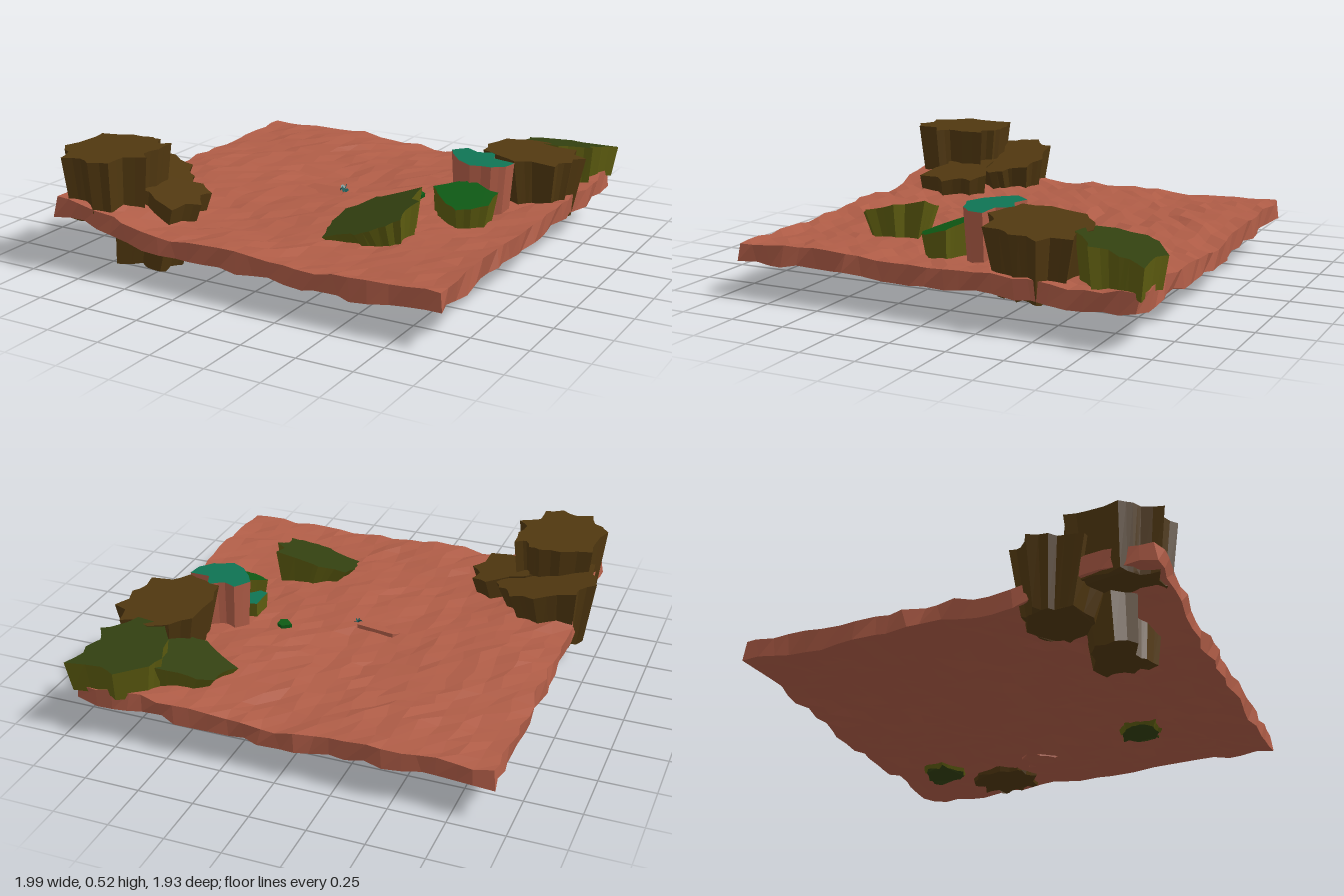
import * as THREE from 'three';

const mat = (name, color, side = THREE.FrontSide) =>
  Object.assign(new THREE.MeshStandardMaterial({ color, side }), { name });
const clay = mat('red clay', 0xb05d47);
const brown = mat('brown rock', 0x513810);
const moss = mat('dark moss', 0x324010);
const olive = mat('olive rock', 0x5e5d10);
const teal = mat('teal lichen', 0x0f7454);
const green = mat('green moss', 0x0e5a14);
const sprigTeal = mat('sprig teal', 0x1c5f5c, THREE.DoubleSide);

// Repeatable noise in -0.5..0.5 from a position
const noise = (x, z, k = 0) => {
  const s = Math.sin(Math.round(x * 100) * 12.99 + Math.round(z * 100) * 78.23 + k * 37.7) * 43758.55;
  return s - Math.floor(s) - 0.5;
};

// Undulating slab with a raised front-left corner
function ground() {
  const geo = new THREE.BoxGeometry(1.87, 0.085, 1.86, 24, 1, 24);
  const p = geo.attributes.position;
  for (let i = 0; i < p.count; i++) {
    const x = p.getX(i), y = p.getY(i), z = p.getZ(i);
    const corner = 0.085 * (1 - THREE.MathUtils.smoothstep(x, -0.8, -0.32)) * THREE.MathUtils.smoothstep(z, 0.2, 0.8);
    const waves = 0.008 * Math.sin(x * 7 + z * 2) + 0.008 * Math.sin(z * 8 - x * 3);
    const k = y > 0 ? 1 : 2;
    p.setXYZ(i, x + 0.015 + 0.03 * noise(x, z, k + 2),
      0.2 + y + corner + waves + 0.016 * Math.abs(x) + 0.017 * noise(x, z, k),
      z + 0.03 * noise(x, z, k + 4));
  }
  const flat = geo.toNonIndexed();
  flat.computeVertexNormals();
  const mesh = new THREE.Mesh(flat, clay);
  mesh.name = 'ground';
  return mesh;
}

// Rock with a jagged tilted flat top, tapering to a smaller base.
// outline: x, z pairs in hundredths; top: [height, slope in x, slope in z];
// base: [height, scale, shift x, shift z]
function rock(name, outline, top, base, materials) {
  let corners = [];
  for (let i = 0; i < outline.length; i += 2)
    corners.push(new THREE.Vector2(outline[i] / 100, -outline[i + 1] / 100));
  if (THREE.ShapeUtils.isClockWise(corners)) corners.reverse();
  const c = corners.reduce((s, v) => s.add(v), new THREE.Vector2()).divideScalar(corners.length);

  // Small notch in every edge gives the fluted sides
  const pts = corners.flatMap((a, i) => {
    const b = corners[(i + 1) % corners.length];
    const m = a.clone().lerp(b, 0.55).sub(c).multiplyScalar(0.98 + 0.07 * noise(a.x, a.y)).add(c);
    return [a, m];
  });
  const upper = pts.map(v => [v.x, top[0] + top[1] * (v.x - c.x) - top[2] * (v.y - c.y), -v.y]);
  const lower = pts.map(v => [
    c.x + (v.x - c.x) * base[1] + (base[2] || 0),
    base[0] + 0.02 * noise(v.x, v.y, 3),
    -(c.y + (v.y - c.y) * base[1]) + (base[3] || 0)]);

  const pos = [], geo = new THREE.BufferGeometry();
  const faces = THREE.ShapeUtils.triangulateShape(pts, []);
  const addGroup = (index, fill) => {
    const start = pos.length / 3;
    fill();
    geo.addGroup(start, pos.length / 3 - start, index);
  };
  addGroup(0, () => faces.forEach(([i, j, k]) => pos.push(...upper[i], ...upper[j], ...upper[k])));
  addGroup(1, () => pts.forEach((_, i) => {
    const j = (i + 1) % pts.length;
    pos.push(...lower[i], ...lower[j], ...upper[j], ...lower[i], ...upper[j], ...upper[i]);
  }));
  addGroup(2, () => faces.forEach(([i, j, k]) => pos.push(...lower[k], ...lower[j], ...lower[i])));
  geo.setAttribute('position', new THREE.Float32BufferAttribute(pos, 3));
  geo.computeVertexNormals();
  const mesh = new THREE.Mesh(geo, materials);
  mesh.name = name;
  return mesh;
}

export function createModel() {
  const model = new THREE.Group();
  const brownRock = [brown, brown, brown];
  const mossRock = [moss, olive, moss];
  model.add(ground());

  // Front-left brown cluster
  model.add(rock('tallRock', [-96, 79, -93, 64, -94, 55, -80, 50, -70, 49, -65, 50, -62, 56, -57, 53, -56, 64,
    -58, 72, -53, 77, -62, 82, -62, 92, -70, 96, -77, 92, -85, 95, -88, 86, -92, 84],
  [0.54, 0, 0], [0.25, 0.85], brownRock));
  model.add(rock('sideRock', [-100, 41, -93, 36, -93, 31, -84, 31, -74, 27, -69, 30, -62, 30, -59, 37, -54, 40,
    -51, 46, -55, 55, -60, 66, -75, 70, -94, 64, -95, 56, -98, 50],
  [0.40, -0.2, 0], [0.13, 0.68, -0.03, 0], brownRock));
  model.add(rock('deepRock', [-56, 50, -46, 45, -38, 50, -40, 56, -34, 64, -39, 69, -39, 79, -50, 76, -56, 72,
    -70, 78, -78, 68, -74, 56, -64, 50],
  [0.36, -0.22, 0], [0.03, 0.78, -0.05, 0.03], brownRock));

  // Back-right group
  model.add(rock('backMossRock', [59, -82, 62, -88, 75, -97, 82, -94, 99, -96, 94, -88, 95, -84, 91, -78, 95, -71,
    88, -67, 82, -60, 68, -62, 62, -70],
  [0.40, 0, 0.2], [0.23, 0.88], mossRock));
  model.add(rock('lowMossRock', [34, -60, 38, -68, 38, -75, 44, -80, 52, -81, 62, -85, 70, -84, 72, -70, 66, -58,
    62, -52, 54, -50, 44, -56],
  [0.33, 0.25, -0.05], [0.15, 0.6, 0.04, 0], mossRock));
  model.add(rock('wideRock', [58, -55, 66, -62, 75, -65, 83, -61, 90, -63, 92, -54, 99, -51, 95, -45, 97, -38,
    93, -32, 94, -25, 83, -25, 77, -19, 67, -23, 59, -26, 56, -38],
  [0.445, -0.08, 0.07], [0.15, 0.72], brownRock));

  // Lichen-topped rock and its lower ledge
  model.add(rock('lichenRock', [47, -18, 52, -25, 58, -22, 65, -26, 68, -18, 78, -17, 77, -10, 72, -5, 63, -2,
    56, -6, 50, -13],
  [0.47, -0.05, 0], [0.16, 0.85], [teal, clay, clay]));
  model.add(rock('lichenLedge', [48, -10, 54, -11, 58, -3, 52, 3, 48, 2],
    [0.32, 0, 0], [0.2, 0.85], [teal, olive, moss]));

  // Right and front-right mossy rocks
  model.add(rock('greenRock', [49, 5, 58, -2, 64, -5, 72, -1, 78, 0, 78, 10, 72, 15, 66, 18, 60, 15, 53, 9],
    [0.36, -0.05, -0.3], [0.18, 0.75], [green, olive, moss]));
  model.add(rock('frontMossRock', [21, 46, 22, 36, 27, 34, 33, 28, 38, 28, 53, 24, 53, 34, 58, 37, 55, 44, 57, 52,
    52, 56, 46, 59, 40, 61, 34, 59, 24, 60, 22, 52],
  [0.34, 0.27, -0.25], [0.15, 0.55, 0.05, -0.03], mossRock));

  // Small details on the ground
  model.add(rock('mossPatch', [29, -13, 33, -16, 36, -14, 36, -10, 33, -9, 31, -11],
    [0.265, 0, 0], [0.23, 0.9], [green, green, green]));
  model.add(rock('clayRidge', [-27, 9, -17, -4, 1, -2, 2, 4, -10, 10],
    [0.245, 0.06, -0.25], [0.2, 1], [clay, clay, clay]));

  // Tiny sprig of crossed leaves
  const sprig = new THREE.Group();
  sprig.name = 'sprig';
  const leaf = new THREE.CircleGeometry(0.012, 5);
  for (let i = 0; i < 5; i++) {
    const a = i * Math.PI * 0.4;
    const mesh = new THREE.Mesh(leaf, sprigTeal);
    mesh.name = 'sprigLeaf';
    mesh.position.set(0.012 + 0.012 * Math.cos(a), 0.265 + 0.004 * i, 0.012 * Math.sin(a));
    mesh.rotation.set(-0.9, a, 0);
    sprig.add(mesh);
  }
  model.add(sprig);
  return model;
}
